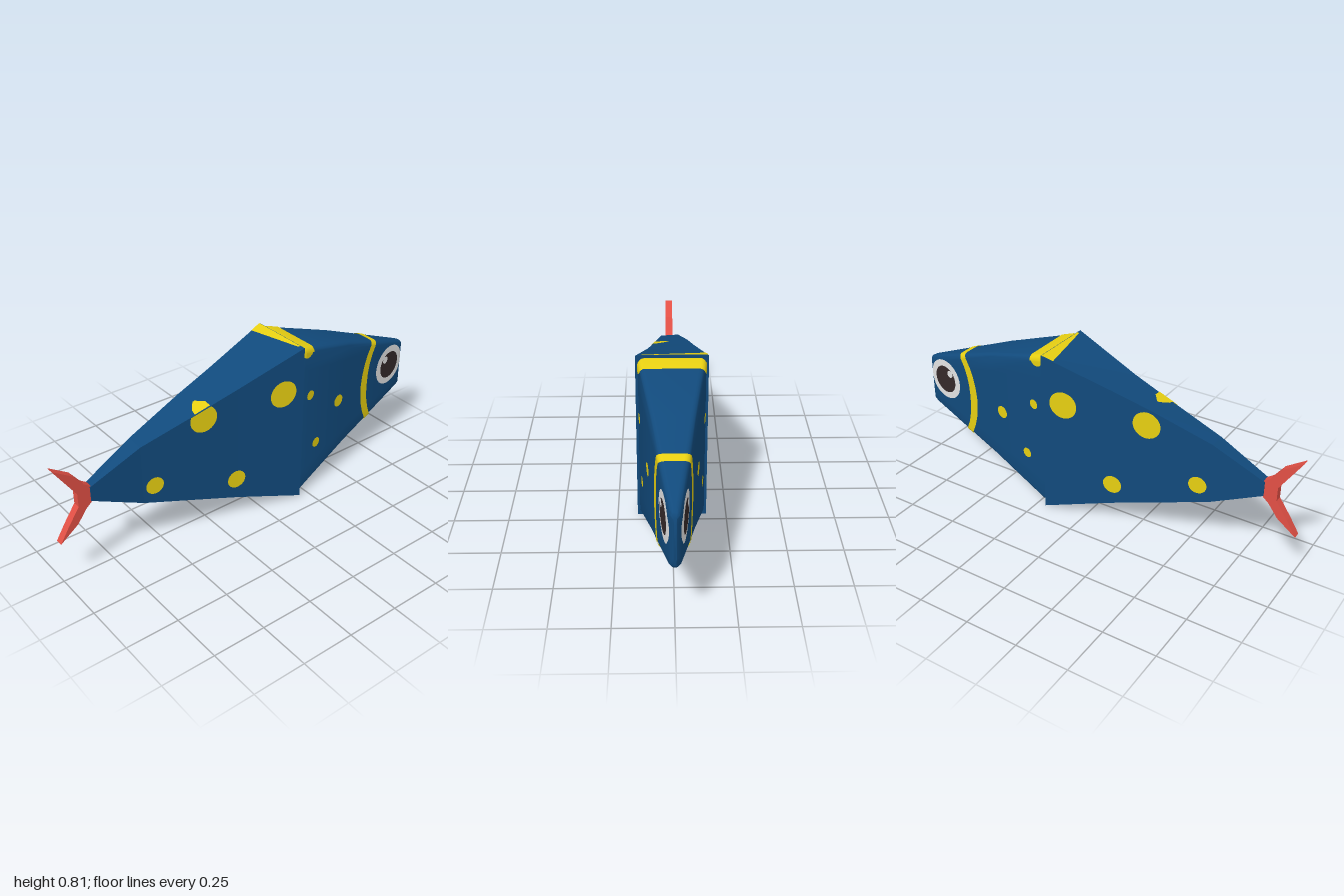
import * as THREE from 'three';
import { toCreasedNormals } from 'three/addons/utils/BufferGeometryUtils.js';

// piecewise-linear lookup in a table of [z, value]
function lookup(table, z) {
  if (z <= table[0][0]) return table[0][1];
  for (let i = 1; i < table.length; i++) {
    const [z0, v0] = table[i - 1], [z1, v1] = table[i];
    if (z <= z1) return v0 + (v1 - v0) * (z - z0) / (z1 - z0);
  }
  return table[table.length - 1][1];
}

// skin over rows of [x, y, z]; optionally closed round and capped
function skin(rows, closed = false) {
  const n = rows[0].length, index = [];
  const m = closed ? n : n - 1;
  for (let i = 0; i < rows.length - 1; i++) {
    for (let j = 0; j < m; j++) {
      const a = i * n + j, b = i * n + (j + 1) % n;
      index.push(a, b, a + n, b, b + n, a + n);
    }
  }
  if (closed) {
    const last = (rows.length - 1) * n;
    for (let j = 1; j < n - 1; j++) {
      index.push(0, j + 1, j, last, last + j, last + j + 1);
    }
  }
  const g = new THREE.BufferGeometry();
  g.setAttribute('position', new THREE.Float32BufferAttribute(rows.flat(2), 3));
  g.setIndex(index);
  return g;
}

// head profile: half width, top and bottom along z
const headW = [[-1, 0.006], [-0.99, 0.018], [-0.97, 0.026], [-0.75, 0.062], [-0.55, 0.093], [-0.225, 0.146], [-0.207, 0.141], [-0.2, 0.125]];
const headT = [[-1, 0.515], [-0.99, 0.533], [-0.97, 0.545], [-0.55, 0.695], [-0.225, 0.793], [-0.207, 0.792], [-0.2, 0.775]];
const headB = [[-1, 0.302], [-0.99, 0.285], [-0.97, 0.275], [-0.55, 0.14], [-0.225, 0.02], [-0.207, 0.02], [-0.2, 0.038]];
const headRadius = (w) => Math.min(0.025, w * 0.95);

// rounded-rectangle cross-section of the head, pushed out by eps
function headSection(z, eps = 0) {
  const w = lookup(headW, z) + eps, t = lookup(headT, z) + eps, b = lookup(headB, z) - eps;
  const r = headRadius(w), pts = [];
  const corner = (cx, cy, start) => {
    for (let k = 0; k <= 4; k++) {
      const a = (start + k * 22.5) * Math.PI / 180;
      pts.push([cx + r * Math.cos(a), cy + r * Math.sin(a), z]);
    }
  };
  const side = (x, y0, y1) => {
    for (let k = 1; k < 8; k++) pts.push([x, y0 + (y1 - y0) * k / 8, z]);
  };
  corner(w - r, b + r, -90);
  side(w, b + r, t - r);
  corner(w - r, t - r, 0);
  corner(r - w, t - r, 90);
  side(-w, t - r, b + r);
  corner(r - w, b + r, 180);
  return pts;
}

// half width of the head at a point on its side, rounded edges included
function headSide(z, y) {
  const w = lookup(headW, z), r = headRadius(w);
  const d = Math.max(0, y - lookup(headT, z) + r, lookup(headB, z) + r - y);
  return w - r + Math.sqrt(Math.max(0, r * r - d * d));
}

// rear body profile, with slightly uneven top edges
const rearW = [[-0.205, 0.158], [0.13, 0.105], [0.32, 0.08], [0.6, 0.043], [0.84, 0.021]];
const rearB = [[-0.205, 0], [0.13, 0.112], [0.32, 0.172], [0.6, 0.26], [0.84, 0.37]];
const rearTop = {
  '1': [[-0.205, 0.805], [0.13, 0.69], [0.32, 0.632], [0.6, 0.55], [0.84, 0.44]],
  '-1': [[-0.205, 0.805], [0.13, 0.706], [0.32, 0.65], [0.6, 0.555], [0.84, 0.44]],
};

// round patch that hugs a side surface
function patch(cz, cy, radius, side, half, top, eps) {
  const rows = [];
  for (let i = 0; i <= 6; i++) {
    const row = [];
    for (let j = 0; j <= 32; j++) {
      const a = j / 32 * Math.PI * 2, q = radius * i / 6;
      const z = cz + q * Math.cos(a);
      const y = Math.min(cy + q * Math.sin(a), lookup(top, z));
      row.push([side * (half(z, y) + eps), y, z]);
    }
    rows.push(row);
  }
  return skin(rows);
}

export function createModel() {
  const group = new THREE.Group();
  const material = (name, color, doubleSided = false) => {
    const m = new THREE.MeshStandardMaterial({ color });
    m.name = name;
    if (doubleSided) m.side = THREE.DoubleSide;
    return m;
  };
  const blue = material('deep blue', 0x114a7c);
  const yellow = material('yellow', 0xe8d012, true);
  const red = material('coral red', 0xe25045);
  const white = material('eye white', 0xe4e4e4, true);
  const dark = material('pupil dark', 0x352929, true);
  const add = (name, geometry, mat) => {
    if (!geometry.attributes.normal) geometry.computeVertexNormals();
    const mesh = new THREE.Mesh(geometry, mat);
    mesh.name = name;
    group.add(mesh);
  };

  // head: rounded tapering loft towards the nose
  const headZ = headW.map(([z]) => z);
  add('head', toCreasedNormals(skin(headZ.map((z) => headSection(z)), true), 0.6), blue);

  // rear body: four-sided faceted loft
  const rearRows = rearW.map(([z, w]) => [
    [w, lookup(rearB, z), z],
    [w, lookup(rearTop['1'], z), z],
    [-w, lookup(rearTop['-1'], z), z],
    [-w, lookup(rearB, z), z],
  ]);
  add('rearBody', skin(rearRows, true).toNonIndexed(), blue);

  // forked tail fin: outline in (z, y), extruded across x
  const outline = [[0.83, 0.37], [0.865, 0.34], [0.91, 0.28], [1, 0.213], [0.955, 0.285], [0.9, 0.365],
    [0.9, 0.43], [0.955, 0.515], [1, 0.585], [0.91, 0.525], [0.865, 0.465], [0.83, 0.44]];
  const fin = new THREE.ExtrudeGeometry(
    new THREE.Shape(outline.map(([z, y]) => new THREE.Vector2(-z, y))),
    { depth: 0.036, bevelEnabled: false });
  fin.translate(0, 0, -0.018).rotateY(Math.PI / 2);
  add('tailFin', fin, red);

  // curved stripe wrapped round the head
  const mid = headSection(-0.7);
  const stripe = [-1, -0.33, 0.33, 1].map((s) => [...mid, mid[0]].map(([, y], j) => {
    const z = -0.68 - 1.2 * (y - 0.4) ** 2 + s * (0.025 - 0.03 * Math.abs(y - 0.4));
    return headSection(z, 0.003)[j % mid.length];
  }));
  add('headStripe', skin(stripe), yellow);

  // band over the top of the head
  const band = [-0.28, -0.225, -0.207].map((z) => headSection(z, 0.003).slice(12, 22));
  add('headTopBand', skin(band), yellow);

  // spots and eyes on both sides
  const rearSpots = [[0.3, 0.595, 0.065], [-0.1, 0.6, 0.066], [0.545, 0.335, 0.042], [0.14, 0.22, 0.045]];
  const headSpots = [[-0.265, 0.535, 0.024], [-0.48, 0.41, 0.031], [-0.32, 0.25, 0.025], [-0.24, 0.775, 0.036]];
  const rearSide = (z) => lookup(rearW, z);
  for (const side of [1, -1]) {
    const label = side > 0 ? 'left' : 'right';
    for (const [z, y, r] of rearSpots) {
      const cy = side > 0 || y < 0.5 ? y : y - 0.02;
      add(label + 'BodySpot', patch(z, cy, r, side, rearSide, rearTop[side], 0.003), yellow);
    }
    for (const [z, y, r] of headSpots) {
      add(label + 'HeadSpot', patch(z, y, r, side, headSide, headT, 0.003), yellow);
    }
    add(label + 'EyeWhite', patch(-0.882, 0.445, 0.104, side, headSide, headT, 0.003), white);
    add(label + 'Pupil', patch(-0.882, 0.445, 0.071, side, headSide, headT, 0.005), dark);
    add(label + 'EyeGlint', patch(-0.845, 0.485, 0.019, side, headSide, headT, 0.007), white);
  }

  // yellow wedges lying on the top of the rear body
  const onTop = (x, z) => {
    const w = rearSide(z), k = (x / w + 1) / 2;
    const y = lookup(rearTop['-1'], z) * (1 - k) + lookup(rearTop['1'], z) * k;
    return [x, y + 0.004, z];
  };
  add('topWedge', skin([[onTop(-0.157, -0.2), onTop(0.13, -0.2)], [onTop(-0.147, -0.145), onTop(0.13, -0.192)]]), yellow);
  add('topFleck', skin([[onTop(0.01, 0.295), onTop(0.05, 0.265), onTop(0.086, 0.265)],
    [onTop(0.01, 0.305), onTop(0.05, 0.335), onTop(0.077, 0.34)]]), yellow);

  return group;
}
